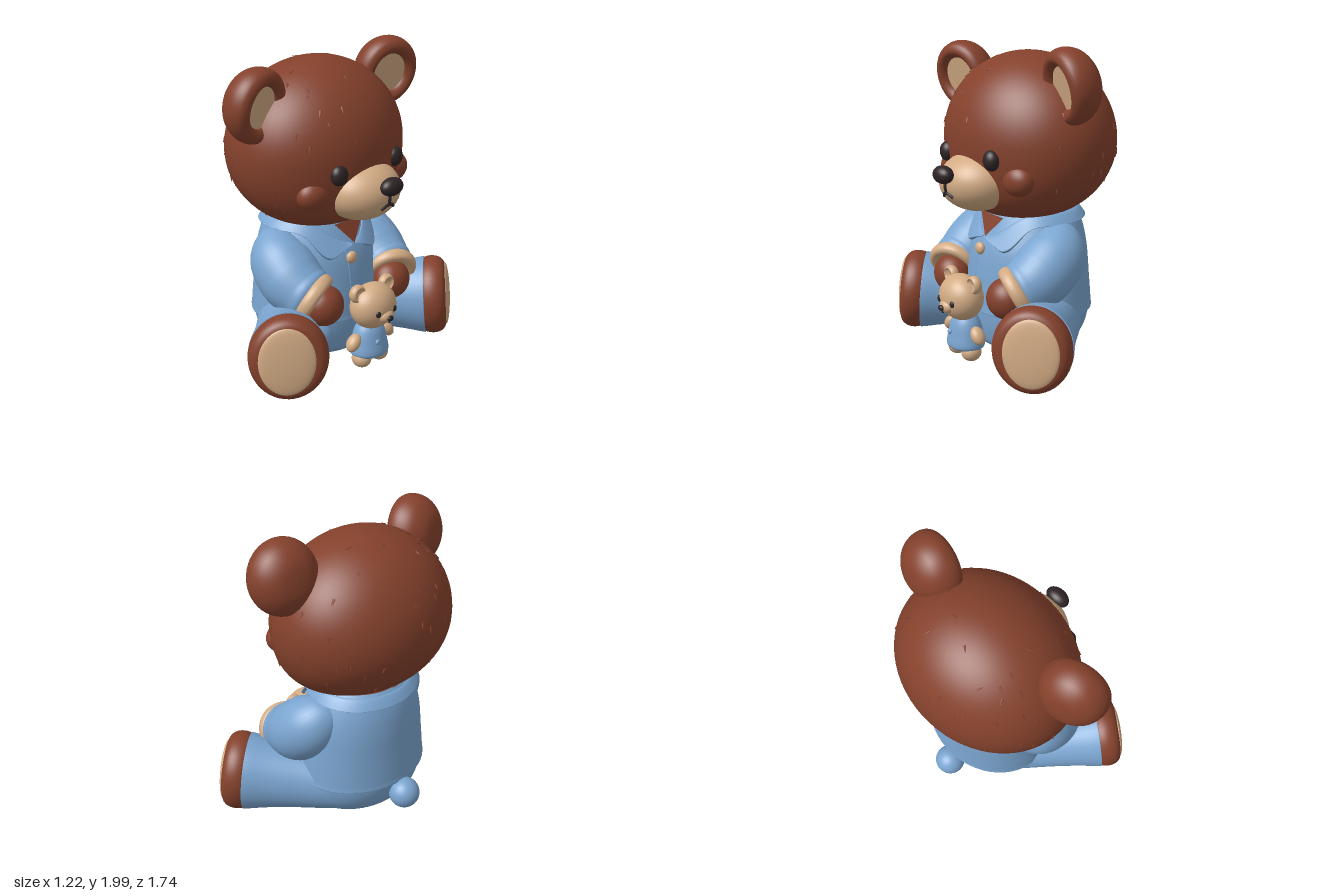
import * as THREE from 'three';
import { mergeGeometries } from 'three/addons/utils/BufferGeometryUtils.js';
import { ParametricGeometry } from 'three/addons/geometries/ParametricGeometry.js';

const V3 = (x, y, z) => new THREE.Vector3(x, y, z);
const { PI, sin, cos, exp, min, sqrt } = Math;

export function createModel() {
  const fur = new THREE.MeshStandardMaterial({ color: 0x84412c });
  const cream = new THREE.MeshStandardMaterial({ color: 0xd2ab84 });
  const cloth = new THREE.MeshStandardMaterial({ color: 0x7ba5d0, side: THREE.DoubleSide });
  const dark = new THREE.MeshStandardMaterial({ color: 0x2e2425 });
  fur.name = 'brownFur'; cream.name = 'cream'; cloth.name = 'blueCloth'; dark.name = 'darkBrown';

  const add = (parent, name, geo, mat) => {
    const m = new THREE.Mesh(geo, mat);
    m.name = name;
    parent.add(m);
    return m;
  };
  const group = (parent, name) => {
    const g = new THREE.Group();
    g.name = name;
    parent.add(g);
    return g;
  };
  const ballGeo = new THREE.SphereGeometry(1, 40, 28);
  const ball = (parent, name, mat, p, s) => {
    const m = add(parent, name, ballGeo, mat);
    m.position.set(...p);
    m.scale.set(...s);
    return m;
  };
  // Turned shape along z from [radius, z] points, listed back to front
  const turned = (pts) => new THREE.LatheGeometry(
    new THREE.SplineCurve(pts.map((p) => new THREE.Vector2(...p))).getPoints(48), 48).rotateX(PI / 2);
  // Upright oval body from [y, centre z, half width] sections, listed upward
  const ovalBody = (secs) => {
    const c = new THREE.CatmullRomCurve3(secs.map((s) => V3(...s)));
    return new ParametricGeometry((u, v, t) => {
      const p = c.getPoint(v), a = u * 2 * PI;
      t.set(p.z * sin(a), p.x, p.y + 0.86 * p.z * cos(a));
    }, 56, 40);
  };
  // Soft limb through [x, y, z, radius] points
  const limb = (pts) => {
    const c = new THREE.CatmullRomCurve3(pts.map((p) => V3(p[0], p[1], p[2])));
    const r = new THREE.SplineCurve(pts.map((p, i) => new THREE.Vector2(i, p[3])));
    return new ParametricGeometry((u, v, t) => {
      const tan = c.getTangent(v);
      const n = V3(0, 1, 0.3).cross(tan).normalize(), b = tan.clone().cross(n);
      const rad = Math.max(0.002, r.getPoint(v).y), a = u * 2 * PI;
      t.copy(c.getPoint(v)).addScaledVector(n, rad * cos(a)).addScaledVector(b, rad * sin(a));
    }, 32, 36);
  };

  const model = new THREE.Group();
  model.name = 'teddyBear';
  const bear = group(model, 'bear');
  bear.rotation.y = PI / 2; // built facing +z, turned to face +x

  // Head, leaning a little to one side
  const lean = group(bear, 'headLean');
  lean.position.y = 1.38;
  lean.rotation.z = 0.05;
  const head = group(lean, 'head');
  head.position.y = -1.38;
  const headPoint = (a, f, t) => {
    const low = f < 0, c = low ? cos(f) ** 0.74 : cos(f), s = sin(f);
    return t.set(0.605 * c * sin(a), 1.38 + s * (low ? 0.485 : 0.545), -0.1 + (low ? 0.08 * s * s : 0) + 0.51 * c * cos(a));
  };
  add(head, 'skull', new ParametricGeometry((u, v, t) => headPoint(u * 2 * PI, (v - 0.5) * 3.14, t), 64, 48), fur);

  // Small fur tufts lying close over the head
  let seed = 7;
  const rnd = () => (seed = (seed * 16807) % 2147483647) / 2147483647;
  const tufts = [];
  while (tufts.length < 70) {
    const p = headPoint(rnd() * 2 * PI, Math.asin(rnd() * 1.7 - 0.75), V3(0, 0, 0));
    if (p.z > 0.15 && p.y < 1.48) continue;
    const out = p.clone().sub(V3(0, 1.38, -0.1)).normalize();
    const side = V3(rnd() - 0.5, -1, 0).cross(out).cross(out).normalize().negate();
    const q = new THREE.Quaternion().setFromUnitVectors(V3(0, 1, 0), side.addScaledVector(out, 0.35).normalize());
    tufts.push(new THREE.ConeGeometry(0.011, 0.045, 8).applyQuaternion(q).translate(p.x, p.y, p.z));
  }
  add(head, 'furTufts', mergeGeometries(tufts), fur);

  // Ears: domed back, thick rim, cream hollow
  const earGeo = turned([[0, -0.17], [0.1, -0.157], [0.18, -0.1], [0.216, -0.02], [0.208, 0.05], [0.167, 0.08], [0.13, 0.058], [0.112, 0.015]]);
  for (const s of [-1, 1]) {
    const ear = group(head, s < 0 ? 'rightEar' : 'leftEar');
    ear.position.set(s * 0.545, 1.745, 0.008);
    ear.rotation.set(0.2, -s * 0.2, 0);
    ear.scale.y = 1.06;
    add(ear, 'earShell', earGeo, fur);
    const inner = add(ear, 'earInner', new THREE.CircleGeometry(0.13, 40), cream);
    inner.position.z = 0.042;
    ball(head, 'eye', dark, [s * 0.238, 1.315, 0.36], [0.058, 0.064, 0.05]);
    ball(head, 'cheek', fur, [s * 0.335, 1.195, 0.24], [0.12, 0.1, 0.09]);
  }

  // Muzzle, nose and mouth
  ball(head, 'muzzle', cream, [0, 1.155, 0.3], [0.252, 0.187, 0.24]);
  ball(head, 'nose', dark, [0.005, 1.225, 0.555], [0.082, 0.056, 0.055]);
  const onMuzzle = ([x, y]) => V3(x, y, 0.301 + 0.24 * sqrt(1 - (x / 0.252) ** 2 - ((y - 1.155) / 0.187) ** 2));
  for (const line of [[[0, 1.19], [0, 1.15], [0, 1.105]], [[-0.052, 1.082], [-0.03, 1.1], [0, 1.108], [0.03, 1.1], [0.052, 1.082]]])
    add(head, 'mouth', new THREE.TubeGeometry(new THREE.CatmullRomCurve3(line.map(onMuzzle)), 20, 0.011, 8), dark);

  // Shirt, trousers and tail
  ball(bear, 'neck', fur, [0, 0.93, -0.1], [0.31, 0.12, 0.26]);
  add(bear, 'shirt', ovalBody([[0.33, -0.08, 0.4], [0.295, -0.085, 0.455], [0.33, -0.085, 0.453], [0.5, -0.085, 0.438], [0.7, -0.095, 0.41], [0.82, -0.11, 0.37], [0.93, -0.12, 0.315], [0.96, -0.12, 0.29]]), cloth);
  add(bear, 'trousers', ovalBody([[0.042, -0.03, 0.003], [0.045, -0.03, 0.27], [0.08, -0.055, 0.36], [0.16, -0.075, 0.41], [0.27, -0.085, 0.435], [0.36, -0.085, 0.43]]), cloth);
  ball(bear, 'tail', cloth, [0, 0.21, -0.5], [0.1, 0.1, 0.1]);
  ball(bear, 'shirtButton', cream, [-0.027, 0.7, 0.265], [0.04, 0.04, 0.028]);
  add(bear, 'shirtPlacket', new THREE.TubeGeometry(new THREE.CatmullRomCurve3(
    [V3(-0.05, 0.78, 0.222), V3(-0.05, 0.68, 0.258), V3(-0.05, 0.5, 0.286), V3(-0.05, 0.35, 0.298)]), 24, 0.009, 8), cloth).position.z = -0.003;

  // Open neckline and collar with two front flaps
  const vShape = new THREE.Shape([[-0.12, 0.01], [0, -0.135], [0.12, 0.01]].map((p) => new THREE.Vector2(...p)));
  const neckline = add(bear, 'neckline', new THREE.ShapeGeometry(vShape), fur);
  neckline.position.set(0.01, 0.91, 0.2);
  neckline.rotation.x = -0.4;
  add(bear, 'collar', new ParametricGeometry((u, v, t) => {
    const a = (u * 2 - 1) * (PI - 0.04), d = PI - Math.abs(a);
    const top = 0.95 - 0.16 * ((1 - cos(a)) / 2) ** 14;
    const width = 0.07 * min(1, d / 0.4) + 0.09 * exp(-(((d - 0.5) / 0.25) ** 2));
    const y = top - width * v;
    const r = 0.32 + (0.93 - y) * 0.5 + 0.005 + 0.03 * sqrt(v) - (v > 0.92 ? (v - 0.92) * 0.35 : 0);
    t.set(r * sin(a), y, -0.115 - (0.86 * r + 0.01) * cos(a));
  }, 96, 16), cloth);

  // Arms, cuffs and paws
  for (const s of [-1, 1]) {
    const arm = group(bear, s < 0 ? 'rightArm' : 'leftArm');
    add(arm, 'sleeve', limb([[0.24, 0.88, -0.13, 0.002], [0.29, 0.815, -0.11, 0.12], [0.355, 0.71, -0.04, 0.19], [0.372, 0.605, 0.075, 0.202],
      [0.36, 0.54, 0.185, 0.18], [0.345, 0.512, 0.25, 0.155], [0.34, 0.505, 0.265, 0.002]].map(([x, y, z, r]) => [s * x, y, z, r])), cloth);
    const cuff = add(arm, 'cuff', turned([[0.1, -0.045], [0.152, -0.05], [0.174, -0.018], [0.168, 0.022], [0.14, 0.036], [0.1, 0.02]]), cream);
    cuff.position.set(s * 0.345, 0.507, 0.257);
    cuff.quaternion.setFromUnitVectors(V3(0, 0, 1), V3(-s * 0.4, -0.5, 0.76).normalize());
    ball(arm, 'paw', fur, [s * 0.3, 0.468, 0.3], [0.13, 0.128, 0.118]);
  }

  // Legs splayed outward, with big feet and cream soles
  const legGeo = turned([[0, -0.95], [0.1, -0.92], [0.155, -0.84], [0.18, -0.68], [0.2, -0.48], [0.224, -0.3], [0.25, -0.16], [0.246, -0.14], [0.2, -0.135]]);
  const footGeo = turned([[0.19, -0.2], [0.238, -0.155], [0.256, -0.095], [0.243, -0.035], [0.2, -0.003], [0.1, 0.002], [0, 0.002]]);
  for (const s of [-1, 1]) {
    const leg = group(bear, s < 0 ? 'rightLeg' : 'leftLeg');
    leg.position.set(s * 0.71, 0.277, 0.435);
    leg.rotation.set(-0.07, s * 0.68, 0, 'YXZ');
    leg.scale.set(0.95, 1.03, 1);
    add(leg, 'trouserLeg', legGeo, cloth);
    add(leg, 'foot', footGeo, fur);
    ball(leg, 'sole', cream, [s * 0.012, 0, -0.002], [0.182, 0.205, 0.028]);
    // Soft seat filling the angle between leg and body
    ball(bear, 'seatFill', cloth, [s * 0.27, 0.2, 0.02], [0.22, 0.163, 0.26]);
  }

  // Little toy bear held between the paws
  const toy = group(bear, 'toyBear');
  ball(toy, 'toyHead', cream, [0, 0.42, 0.43], [0.163, 0.147, 0.13]);
  ball(toy, 'toyMuzzle', cream, [0, 0.38, 0.53], [0.06, 0.045, 0.05]);
  ball(toy, 'toyNose', dark, [0, 0.378, 0.58], [0.024, 0.018, 0.016]);
  ball(toy, 'toyMouth', dark, [0, 0.353, 0.568], [0.006, 0.012, 0.008]);
  const toyShirt = add(toy, 'toyShirt', ovalBody([[0.095, 0, 0.003], [0.085, 0, 0.11], [0.1, 0, 0.132], [0.18, 0, 0.122], [0.26, 0, 0.1], [0.32, 0, 0.06]]), cloth);
  toyShirt.position.z = 0.4;
  ball(toy, 'toyButton', cloth, [-0.027, 0.195, 0.503], [0.018, 0.018, 0.012]);
  const toyEar = turned([[0, -0.04], [0.045, -0.025], [0.058, 0.005], [0.045, 0.03], [0.032, 0.02], [0, 0.008]]);
  for (const s of [-1, 1]) {
    add(toy, 'toyEar', toyEar, cream).position.set(s * 0.128, 0.53, 0.415);
    ball(toy, 'toyEye', dark, [s * 0.07, 0.412, 0.545], [0.019, 0.021, 0.012]);
    ball(toy, 'toyArm', cream, [s * 0.15, 0.2, 0.41], [0.04, 0.062, 0.045]).rotation.z = s * 0.7;
    ball(toy, 'toyLeg', cream, [s * 0.077, 0.068, 0.41], [0.06, 0.058, 0.065]);
  }
  return model;
}
